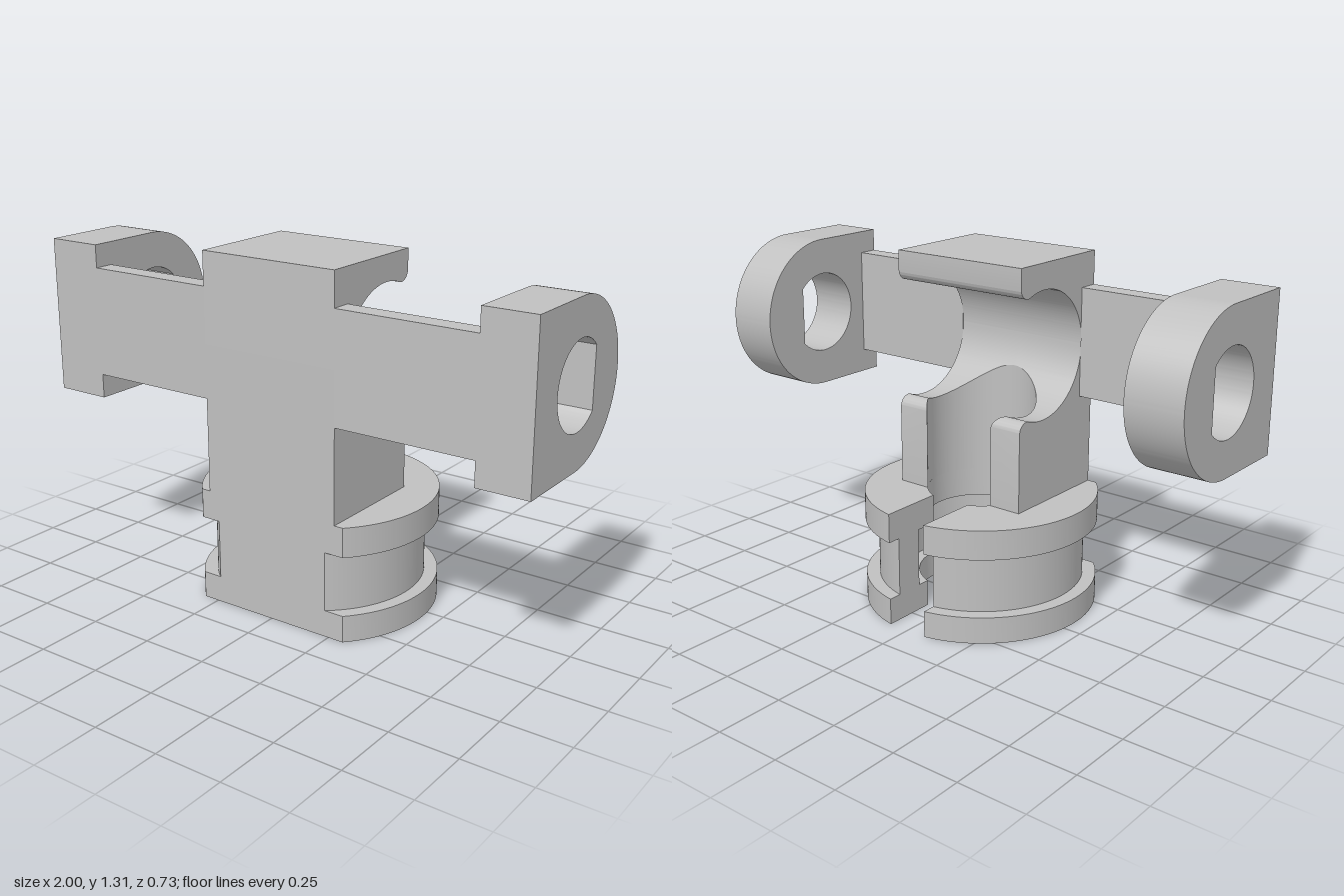
import * as THREE from 'three';
import { toCreasedNormals } from 'three/addons/utils/BufferGeometryUtils.js';

const FRONT = 0.365;           // flat front plane
const AXIS_Z = 0.06;           // shared axis depth
const AXIS_Y = 0.98;           // height of the horizontal bore
const HALF = 0.275, BACK = -0.075; // block half width and rear face
const BORE = 0.235, WELL = 0.2;    // horizontal and vertical bore radii
const LIP = 0.04;              // rounding of the clip lips
const FLOOR = 0.43, TOP = 1.31;

// Lip rounding: circle tangent to the rear face and to the bore
const lipX = -BACK - LIP;
const lipDx = lipX + AXIS_Z;
const lipDy = Math.sqrt((BORE + LIP) ** 2 - lipDx ** 2);
const touchAngle = Math.atan2(lipDy, lipDx);

export function createModel() {
  const model = new THREE.Group();
  const grey = new THREE.MeshStandardMaterial({ color: 0xc0c0c0 });
  grey.name = 'light grey';

  const add = (name, geometry) => {
    const mesh = new THREE.Mesh(geometry, grey);
    mesh.name = name;
    model.add(mesh);
    return mesh;
  };
  const extrude = (shape, depth) =>
    new THREE.ExtrudeGeometry(shape, { depth, bevelEnabled: false, curveSegments: 48 });
  // Profile drawn in (-z, y), extruded along x
  const alongX = (shape, x0, x1) =>
    toCreasedNormals(extrude(shape, x1 - x0).rotateY(Math.PI / 2).translate(x0, 0, 0), 0.5);

  // Slotted collar: three stacked horseshoe rings with a flat front
  const collarRing = (name, outer, inner, y0, y1) => {
    const slot = 0.08, cy = -AXIS_Z;
    const a = Math.acos(slot / outer), b = Math.acos(slot / inner);
    const flat = Math.asin((FRONT - AXIS_Z) / outer);
    const s = new THREE.Shape();
    s.absarc(0, cy, outer, a, -flat, true);
    s.absarc(0, cy, outer, Math.PI + flat, Math.PI - a, true);
    s.absarc(0, cy, inner, Math.PI - b, 2 * Math.PI + b, false);
    s.closePath();
    const g = extrude(s, y1 - y0).rotateX(-Math.PI / 2).translate(0, y0, 0);
    add(name, toCreasedNormals(g, 0.5));
  };
  collarRing('collarLowerFlange', 0.435, 0.235, 0, 0.1);
  collarRing('collarGroove', 0.385, 0.28, 0.1, 0.32);
  collarRing('collarUpperFlange', 0.435, WELL, 0.32, FLOOR);

  // Upper half of the clip with its rounded rear lip
  const clip = new THREE.Shape();
  clip.moveTo(-FRONT, AXIS_Y);
  clip.lineTo(-AXIS_Z - BORE, AXIS_Y);
  clip.absarc(-AXIS_Z, AXIS_Y, BORE, Math.PI, touchAngle, true);
  clip.absarc(lipX, AXIS_Y + lipDy, LIP, touchAngle - Math.PI, 0, false);
  clip.lineTo(-BACK, TOP);
  clip.lineTo(-FRONT, TOP);
  clip.closePath();
  add('clipTop', alongX(clip, -HALF, HALF));

  // Lower half: a saddle cut by the vertical well, leaving two rear prongs
  const touchZ = AXIS_Z - BORE * Math.cos(touchAngle);
  const saddleHeight = (z) => {
    if (z >= AXIS_Z + BORE) return AXIS_Y;
    if (z < touchZ) return AXIS_Y - lipDy + Math.sqrt(Math.max(0, LIP ** 2 - (-z - lipX) ** 2));
    return AXIS_Y - Math.sqrt(Math.max(0, BORE ** 2 - (z - AXIS_Z) ** 2));
  };
  const wellWidth = (z) => Math.sqrt(Math.max(0, WELL ** 2 - (z - AXIS_Z) ** 2));
  let depths = [BACK, touchZ, AXIS_Z + WELL, AXIS_Z + BORE, FRONT];
  for (let i = 1; i < 40; i++) {
    const t = Math.sin((i / 40 - 0.5) * Math.PI);
    depths.push(AXIS_Z + BORE * t, AXIS_Z + WELL * t);
    const lipZ = -lipX + LIP * t;
    if (lipZ < touchZ) depths.push(lipZ);
  }
  depths = depths.filter((z) => z >= BACK).sort((p, q) => p - q)
    .filter((z, i, list) => i === 0 || z - list[i - 1] > 1e-5);

  const saddleHalf = (side) => {
    const out = [];
    const tri = (a, b, c) => out.push(...a, ...(side > 0 ? b : c), ...(side > 0 ? c : b));
    const quad = (a, b, c, d) => { tri(a, b, c); tri(a, c, d); };
    const sections = depths.map((z) => {
      const w = side * wellWidth(z), o = side * HALF, h = saddleHeight(z);
      return [[w, FLOOR, z], [o, FLOOR, z], [o, h, z], [w, h, z]];
    });
    for (let i = 0; i < sections.length - 1; i++) {
      const p = sections[i], q = sections[i + 1];
      for (let k = 0; k < 4; k++) {
        const n = (k + 1) % 4;
        quad(p[k], p[n], q[n], q[k]);
      }
    }
    const first = sections[0], last = sections[sections.length - 1];
    quad(first[3], first[2], first[1], first[0]);
    quad(...last);
    const g = new THREE.BufferGeometry();
    g.setAttribute('position', new THREE.Float32BufferAttribute(out, 3));
    return toCreasedNormals(g, 0.5);
  };
  add('leftSaddleProng', saddleHalf(1));
  add('rightSaddleProng', saddleHalf(-1));

  // Side arms
  const arm = (name, x0, x1) => {
    const g = new THREE.BoxGeometry(x1 - x0, 0.405, 0.075);
    add(name, g.translate((x0 + x1) / 2, 0.9825, FRONT - 0.0375));
  };
  arm('leftArm', HALF, 0.805);
  arm('rightArm', -0.785, -HALF);

  // End lugs with teardrop holes pointing to the rear
  const lug = new THREE.Shape();
  const cx = -0.065, R = 0.29, r = 0.155;
  lug.moveTo(-FRONT, AXIS_Y - R);
  lug.lineTo(cx, AXIS_Y - R);
  lug.absarc(cx, AXIS_Y, R, -Math.PI / 2, Math.PI / 2, false);
  lug.lineTo(-FRONT, AXIS_Y + R);
  lug.closePath();
  const hole = new THREE.Path();
  hole.moveTo(cx + r * Math.SQRT2, AXIS_Y);
  hole.absarc(cx, AXIS_Y, r, Math.PI / 4, Math.PI * 1.75, false);
  hole.closePath();
  lug.holes.push(hole);
  add('leftLug', alongX(lug, 0.805, 1));
  add('rightLug', alongX(lug, -1, -0.785));

  return model;
}
